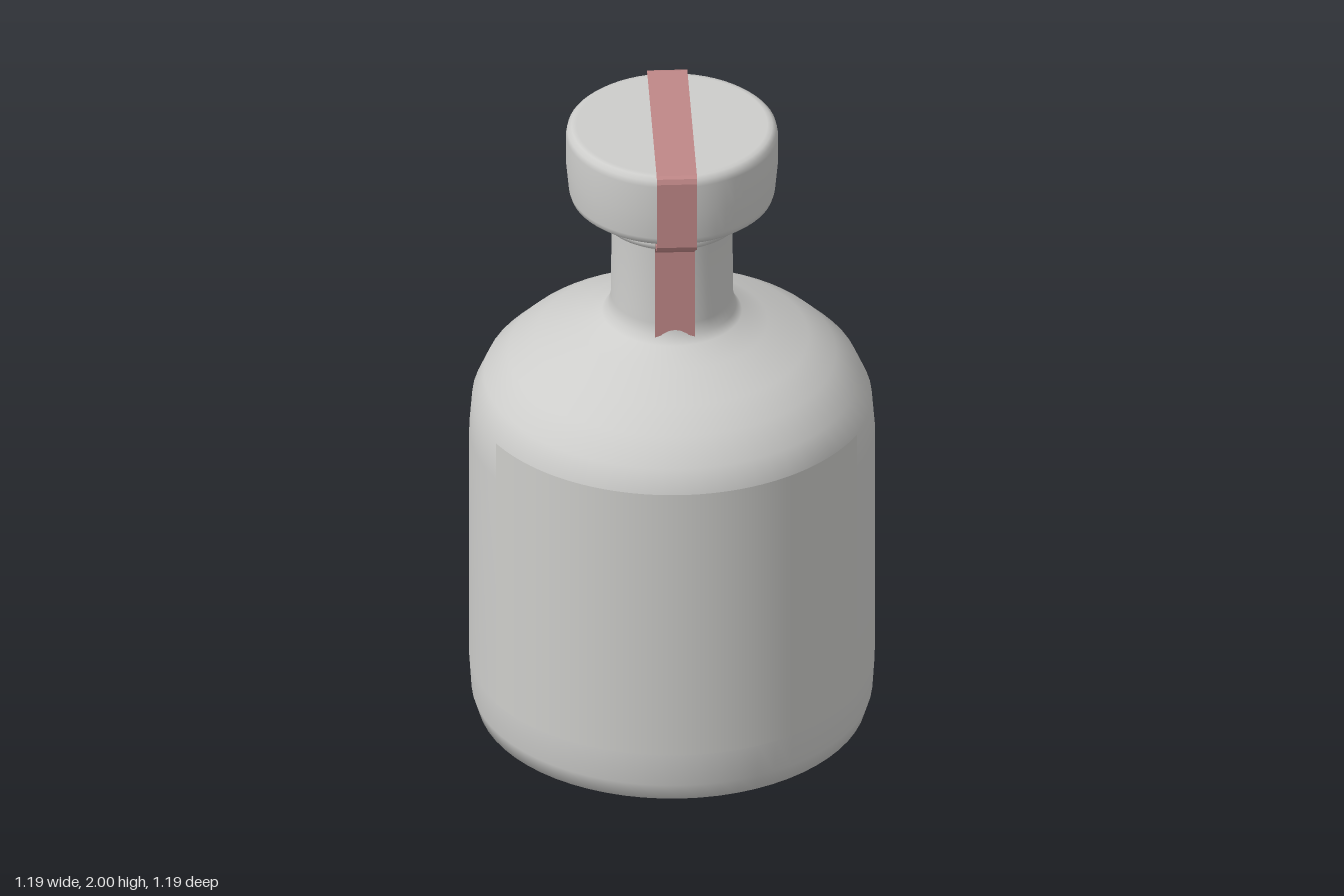
import * as THREE from 'three';

const glass = new THREE.MeshStandardMaterial({ color: 0xcdcdcb });
glass.name = 'paleGlass';
const labelPaper = new THREE.MeshStandardMaterial({ color: 0xcdcdca, side: THREE.DoubleSide });
labelPaper.name = 'labelPaper';
const ribbonRed = new THREE.MeshStandardMaterial({ color: 0xbf8787, side: THREE.DoubleSide });
ribbonRed.name = 'dustyRed';

function addMesh(group, name, geometry, material) {
  const mesh = new THREE.Mesh(geometry, material);
  mesh.name = name;
  group.add(mesh);
  return mesh;
}

// Turned form from [radius, height] pairs, bottom to top
function turned(points) {
  return new THREE.LatheGeometry(points.map(([r, y]) => new THREE.Vector2(r, y)), 64);
}

// Flat strip of constant width following a [z, y] path
function strip(path, width) {
  const positions = [];
  const quad = (a, b) => {
    const h = width / 2;
    const A = [-h, a[1], a[0]], B = [h, a[1], a[0]], C = [h, b[1], b[0]], D = [-h, b[1], b[0]];
    positions.push(...A, ...D, ...C, ...A, ...C, ...B);
  };
  for (let i = 1; i < path.length; i++) quad(path[i - 1], path[i]);
  const geometry = new THREE.BufferGeometry();
  geometry.setAttribute('position', new THREE.Float32BufferAttribute(positions, 3));
  geometry.computeVertexNormals();
  return geometry;
}

export function createModel() {
  const model = new THREE.Group();
  model.name = 'stopperedBottle';

  // Body, shoulder, neck and rolled lip
  addMesh(model, 'bottle', turned([
    [0, 0.004], [0.48, 0.004], [0.515, 0.008], [0.57, 0.035], [0.587, 0.09], [0.594, 0.2],
    [0.594, 0.96], [0.585, 1.07], [0.55, 1.15], [0.48, 1.22], [0.4, 1.272],
    [0.28, 1.325], [0.205, 1.362], [0.188, 1.385], [0.179, 1.42], [0.177, 1.67],
    [0.185, 1.682], [0.204, 1.69], [0.209, 1.705], [0.205, 1.723], [0.19, 1.735],
    [0.165, 1.738], [0, 1.738],
  ]), glass);

  // Stopper plug and cap
  addMesh(model, 'stopperPlug', new THREE.CylinderGeometry(0.165, 0.165, 0.04, 48).translate(0, 1.745, 0), glass);
  addMesh(model, 'stopperCap', turned([
    [0, 1.755], [0.27, 1.755], [0.284, 1.757], [0.297, 1.768], [0.302, 1.785], [0.31, 1.87],
    [0.31, 1.965], [0.306, 1.983], [0.294, 1.993], [0.28, 1.995], [0, 1.995],
  ]), glass);

  // Label wrapped around the front
  const half = THREE.MathUtils.degToRad(62);
  addMesh(model, 'label',
    new THREE.CylinderGeometry(0.599, 0.599, 0.89, 48, 1, true, -half, half * 2).translate(0, 0.645, 0), labelPaper);

  // Ribbon over the cap, tucked under it and hanging down the neck, front and back
  const side = [
    [0, 2], [0.298, 2], [0.31, 1.995], [0.316, 1.98], [0.316, 1.765], [0.308, 1.75],
    [0.222, 1.742], [0.213, 1.72], [0.212, 1.7], [0.184, 1.67], [0.183, 1.34],
  ];
  for (const [name, turn] of [['ribbonFront', 0], ['ribbonBack', Math.PI]]) {
    addMesh(model, name, strip(side, 0.118), ribbonRed).rotation.y = turn;
  }
  return model;
}
